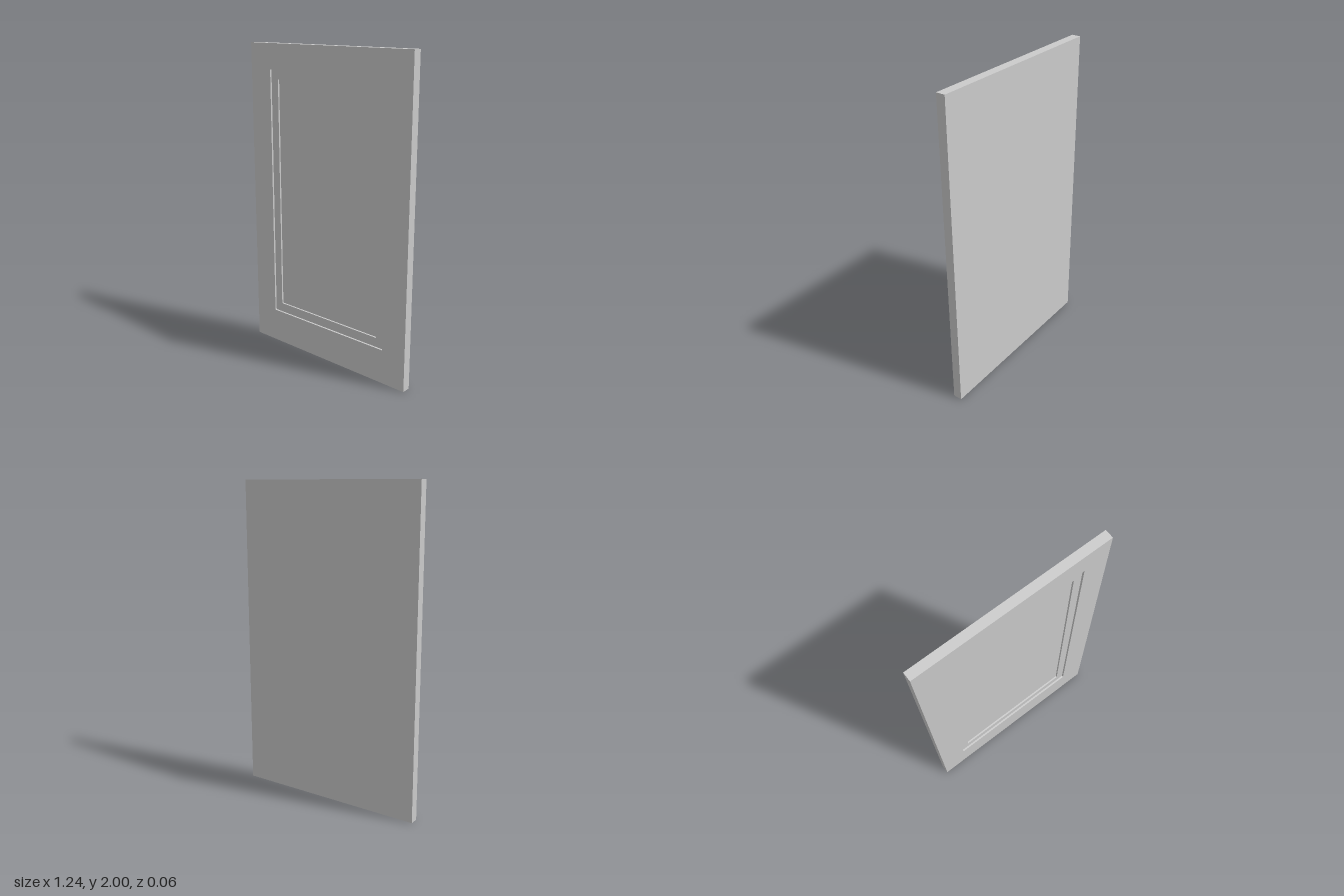
import * as THREE from 'three';

const material = new THREE.MeshStandardMaterial({ color: 0xcccccc });
const BACK = -0.028;

// Traces a rectangle given as half width, bottom and top
function trace(path, { w, y0, y1 }) {
  path.moveTo(-w, y0);
  path.lineTo(w, y0);
  path.lineTo(w, y1);
  path.lineTo(-w, y1);
  path.closePath();
  return path;
}

// Flat board from the shared back plane to the given front, with an optional opening
function board(name, outer, front, opening) {
  const shape = trace(new THREE.Shape(), outer);
  if (opening) shape.holes.push(trace(new THREE.Path(), opening));
  const geometry = new THREE.ExtrudeGeometry(shape, { depth: front - BACK, bevelEnabled: false });
  geometry.translate(0, 0, BACK);
  const mesh = new THREE.Mesh(geometry, material);
  mesh.name = name;
  return mesh;
}

export function createModel() {
  const door = new THREE.Group();
  door.name = 'panelDoor';

  const edge = { w: 0.62, y0: 0, y1: 2 };
  const recess = { w: 0.455, y0: 0.22, y1: 1.84 };
  const centre = { w: 0.4, y0: 0.28, y1: 1.78 };

  // Outer frame, then a lower ledge, then the deepest centre panel
  door.add(board('frame', edge, 0.028, recess));
  door.add(board('ledge', recess, 0.016, centre));
  door.add(board('centrePanel', centre, 0.005));

  return door;
}
